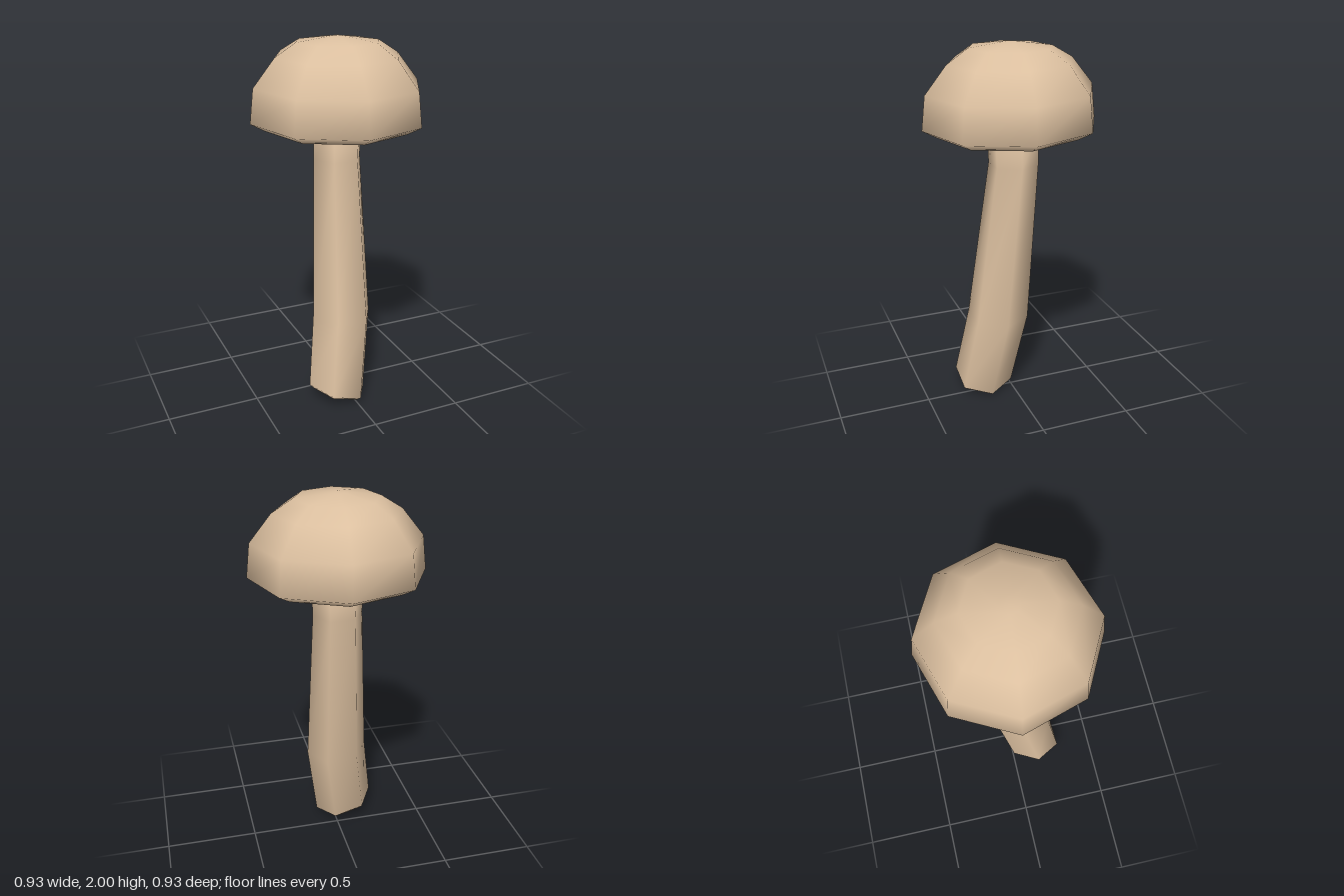
import * as THREE from 'three';

const tan = new THREE.MeshStandardMaterial({ color: 0xdcc0a0 });
tan.name = 'mushroom tan';

// Smooth closed skin over stacked rings, listed bottom to top.
// Ring: centre x, y, z, radius r and slopes sx, sz that tilt it in y.
function loft(name, rings, sides, turn) {
  const pos = [], index = [];
  for (const { x = 0, y, z = 0, r, sx = 0, sz = 0 } of rings) {
    for (let j = 0; j < sides; j++) {
      const a = turn + (j / sides) * Math.PI * 2;
      const dx = r * Math.cos(a), dz = r * Math.sin(a);
      pos.push(x + dx, y + dx * sx + dz * sz, z + dz);
    }
  }
  const n = rings.length, first = rings[0], last = rings[n - 1];
  const bottom = n * sides, top = bottom + 1;
  for (const e of [first, last]) pos.push(e.x || 0, e.tip ?? e.y, e.z || 0);
  for (let j = 0; j < sides; j++) {
    const k = (j + 1) % sides;
    for (let i = 0; i < n - 1; i++) {
      const a = i * sides + j, b = i * sides + k;
      index.push(a, a + sides, b, b, a + sides, b + sides);
    }
    const t = (n - 1) * sides;
    index.push(bottom, j, k, top, t + k, t + j);
  }
  const g = new THREE.BufferGeometry();
  g.setAttribute('position', new THREE.Float32BufferAttribute(pos, 3));
  g.setIndex(index);
  g.computeVertexNormals();
  const mesh = new THREE.Mesh(g, tan);
  mesh.name = name;
  return mesh;
}

export function createModel() {
  const model = new THREE.Group();
  model.name = 'mushroom';

  // Eight-sided cap: flat underside, short bevelled rim, domed top
  const sz = -0.02;
  model.add(loft('cap', [
    { r: 0.39, y: 1.533, sz, tip: 1.54 },
    { r: 0.467, y: 1.575, sz },
    { r: 0.447, y: 1.755, sz },
    { r: 0.332, y: 1.9, sz },
    { r: 0.222, y: 1.97 },
    { r: 0.05, y: 1.994, tip: 2 },
  ], 8, 0.086));

  // Six-sided bent stem with a slanted, slightly bevelled foot
  model.add(loft('stem', [
    { x: -0.07, y: 0.043, z: 0.145, r: 0.142, sx: -0.27 },
    { x: -0.07, y: 0.064, z: 0.145, r: 0.165, sx: -0.28 },
    { x: -0.01, y: 0.48, z: 0.073, r: 0.17, sx: -0.06 },
    { x: 0.003, y: 1.36, z: -0.015, r: 0.134 },
    { x: 0.003, y: 1.56, z: -0.01, r: 0.139 },
  ], 6, 0));

  return model;
}
